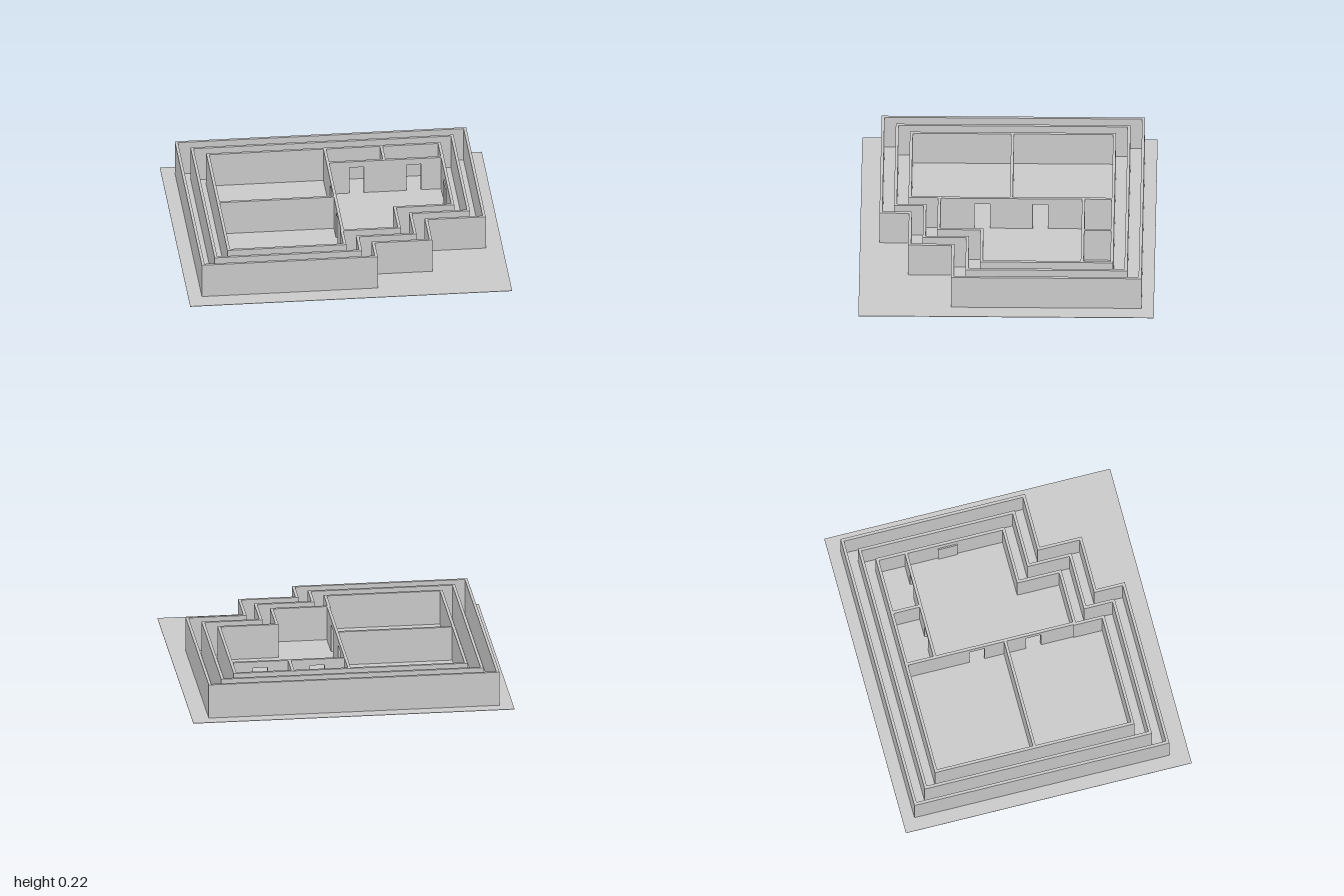
import * as THREE from 'three';

const H = 0.222;      // wall height
const T = 0.018;      // wall thickness
const DOOR = 0.182;   // door height
const material = new THREE.MeshStandardMaterial({ color: 0xcccccc, flatShading: true, side: THREE.DoubleSide });

function addMesh(group, name, geometry) {
  const mesh = new THREE.Mesh(geometry, material);
  mesh.name = name;
  group.add(mesh);
  return mesh;
}

// stepped floor plan outline, moved inwards by d; shape y is -z
function outline(d) {
  const [x0, x1, z0, z1] = [-0.915 + d, 0.895 - d, -0.838 + d, 0.79 - d];
  const [xa, xb, za, zb] = [0.535 - d, 0.178 - d, 0.34 - d, 0.608 - d];
  return [[x0, z0], [x0, z1], [xb, z1], [xb, zb], [xa, zb], [xa, za], [x1, za], [x1, z0]]
    .map(([x, z]) => new THREE.Vector2(x, -z));
}

// closed wall following the outline
function ringWall(d) {
  const shape = new THREE.Shape(outline(d));
  shape.holes.push(new THREE.Path(outline(d + T)));
  return new THREE.ExtrudeGeometry(shape, { depth: H, bevelEnabled: false }).rotateX(-Math.PI / 2);
}

// straight wall from a to b with door notches [start, end] cut from the floor
function straightWall(a, b, doors = []) {
  const shape = new THREE.Shape();
  shape.moveTo(a, 0);
  for (const [s, e] of doors) {
    shape.lineTo(s, 0);
    shape.lineTo(s, DOOR);
    shape.lineTo(e, DOOR);
    shape.lineTo(e, 0);
  }
  shape.lineTo(b, 0);
  shape.lineTo(b, H);
  shape.lineTo(a, H);
  return new THREE.ExtrudeGeometry(shape, { depth: T, bevelEnabled: false });
}

export function createModel() {
  const model = new THREE.Group();
  model.name = 'floorPlan';

  // ground plate
  addMesh(model, 'groundPlate', new THREE.BoxGeometry(2, 0.003, 1.825).translate(0, 0.0015, -0.002));

  // three nested walls
  ['outerWall', 'middleWall', 'innerWall'].forEach((name, i) => addMesh(model, name, ringWall(i * 0.0885)));

  // partitions along x
  addMesh(model, 'roomDivider', straightWall(-0.725, -0.005)).position.z = -0.031;
  addMesh(model, 'smallRoomsWall', straightWall(0, 0.705, [[0.13, 0.22], [0.485, 0.575]])).position.z = -0.478;

  // partitions along z: local x runs towards -z
  const alongZ = (name, x, a, b, doors) => {
    const wall = addMesh(model, name, straightWall(-b, -a, doors));
    wall.rotation.y = Math.PI / 2;
    wall.position.x = x;
  };
  alongZ('centreWall', -0.012, -0.65, 0.43, [[-0.205, -0.11], [0.155, 0.25]]);
  alongZ('smallRoomsDivider', 0.339, -0.65, -0.47);

  // thin door leaf against the inner wall
  addMesh(model, 'entranceDoor', new THREE.BoxGeometry(0.008, 0.172, 0.125).translate(0.696, 0.086, -0.205));

  return model;
}
